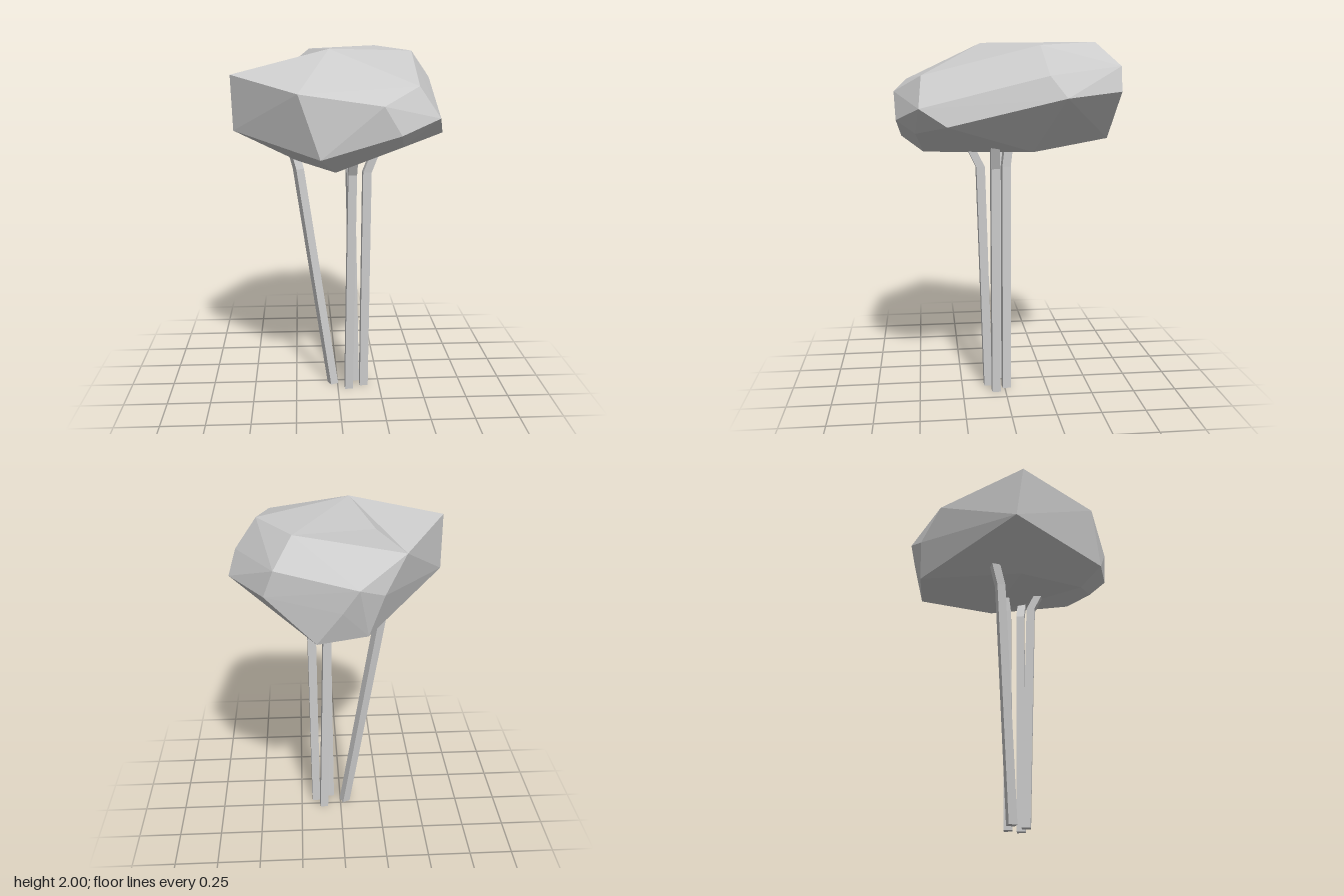
import * as THREE from 'three';
import { ConvexGeometry } from 'three/addons/geometries/ConvexGeometry.js';

const material = new THREE.MeshStandardMaterial({ color: 0xcccccc, flatShading: true });

// Faceted crown corners: x, y, z
const CROWN = [
  // top
  [-0.05, 2.0, 0.12], [0.43, 1.98, -0.145], [0.25, 2.0, -0.465], [-0.15, 1.985, -0.36],
  // upper rim
  [-0.575, 1.87, 0.18], [-0.22, 1.8, 0.54], [0.2, 1.745, 0.6], [0.39, 1.83, 0.455],
  [0.54, 1.83, -0.18], [0.34, 1.875, -0.59], [-0.06, 1.77, -0.6],
  // lower rim
  [-0.57, 1.57, 0.14], [-0.11, 1.48, 0.575], [0.29, 1.6, 0.59], [0.5, 1.67, 0.47],
  [0.31, 1.53, 0.49], [0.535, 1.58, 0.33], [0.575, 1.72, -0.265], [0.39, 1.745, -0.585],
  [0.02, 1.65, -0.59], [-0.19, 1.7, -0.5], [0.145, 1.48, -0.57], [-0.113, 1.49, -0.514],
  // underside
  [-0.03, 1.395, 0.45], [0.26, 1.42, -0.14], [-0.23, 1.4, 0.12],
];
// One corner is dented: it is wrapped while raised, then lowered into place
const DENT = new THREE.Vector3(-0.31, 1.855, -0.355);
const LIFT = 0.11;

function crownGeometry() {
  const points = CROWN.map((p) => new THREE.Vector3(...p));
  const raised = DENT.clone();
  raised.y += LIFT;
  const geometry = new ConvexGeometry([...points, raised]);
  const pos = geometry.attributes.position;
  const v = new THREE.Vector3();
  for (let i = 0; i < pos.count; i++) {
    v.fromBufferAttribute(pos, i);
    if (v.distanceTo(raised) < 1e-4) pos.setXYZ(i, DENT.x, DENT.y, DENT.z);
  }
  geometry.computeVertexNormals();
  return geometry;
}

// Square stem whose rows follow three path points: foot, bend, tip
function stemGeometry(path, yaw, width = 0.048) {
  const geometry = new THREE.BoxGeometry(width, 2, width, 1, 2, 1);
  geometry.rotateY(yaw);
  const pos = geometry.attributes.position;
  for (let i = 0; i < pos.count; i++) {
    const [x, y, z] = path[Math.round(pos.getY(i)) + 1];
    pos.setXYZ(i, pos.getX(i) + x, y, pos.getZ(i) + z);
  }
  geometry.computeVertexNormals();
  return geometry;
}

const STEMS = [
  { name: 'leaningStem', yaw: 0.45, path: [[-0.028, 0, 0.03], [-0.222, 1.33, -0.005], [-0.255, 1.45, -0.03]] },
  { name: 'frontStem', yaw: 0.06, path: [[0.065, 0, 0.095], [0.077, 1.32, 0.135], [0.08, 1.45, 0.2]] },
  { name: 'leftStem', yaw: 0.06, path: [[0.157, 0, 0.055], [0.165, 1.32, 0.06], [0.215, 1.45, 0.065]] },
  { name: 'backStem', yaw: 0.1, path: [[0.108, 0, -0.01], [0.075, 1.32, -0.01], [0.075, 1.45, -0.025]] },
];

export function createModel() {
  const tree = new THREE.Group();
  tree.name = 'tree';

  const crown = new THREE.Mesh(crownGeometry(), material);
  crown.name = 'crown';
  tree.add(crown);

  // Cluster of thin trunks
  const trunk = new THREE.Group();
  trunk.name = 'trunk';
  for (const { name, yaw, path } of STEMS) {
    const stem = new THREE.Mesh(stemGeometry(path, yaw), material);
    stem.name = name;
    trunk.add(stem);
  }
  tree.add(trunk);
  return tree;
}
